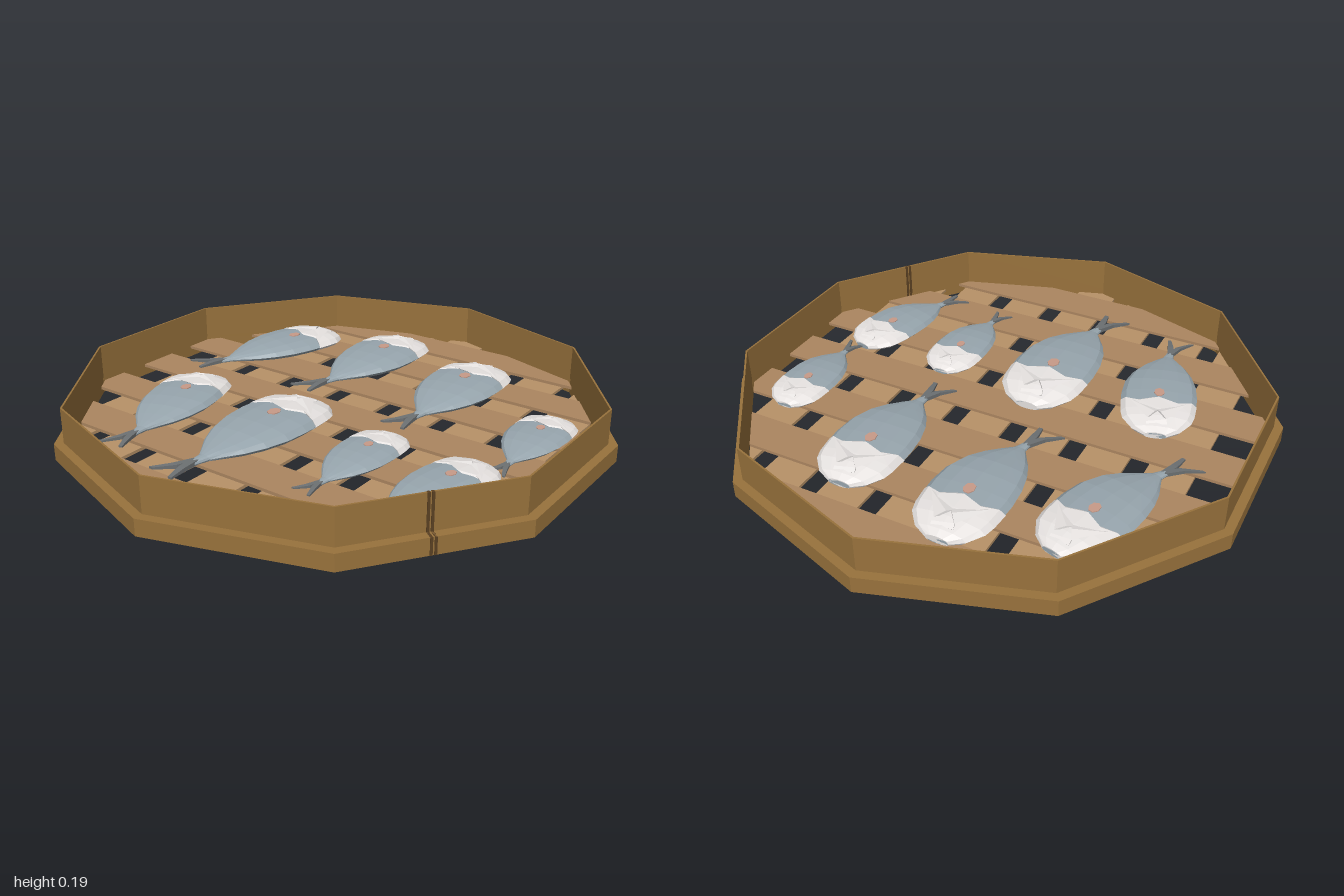
import * as THREE from 'three';

const mat = (color, extra = {}) => new THREE.MeshStandardMaterial({ color, flatShading: true, ...extra });
const WOOD = mat(0x98723c);
const SEAM = mat(0x5a4022);
const SLAT_TOP = mat(0xac8660);
const SLAT_LOW = mat(0xb89268);
const SKIN = mat(0x97a5ad, { side: THREE.DoubleSide });
const HEAD = mat(0xe6e2e0, { side: THREE.DoubleSide });
const FIN = mat(0x6c7072, { side: THREE.DoubleSide });
const SPOT = mat(0xc89a88);

function addMesh(parent, name, geometry, material) {
  const m = new THREE.Mesh(geometry, material);
  m.name = name;
  parent.add(m);
  return m;
}

// Ten-sided outline, counter-clockwise, with a corner at the front and the back
const decagon = (r) => Array.from({ length: 10 }, (_, i) => {
  const a = (i / 10) * Math.PI * 2;
  return new THREE.Vector2(-Math.sin(a) * r, Math.cos(a) * r);
});

// Extrude a plan outline (x, z) between two heights
function slab(points, y0, y1, hole) {
  const shape = new THREE.Shape(points);
  if (hole) shape.holes.push(new THREE.Path(hole.reverse()));
  const g = new THREE.ExtrudeGeometry(shape, { depth: y1 - y0, bevelEnabled: false });
  return g.rotateX(Math.PI / 2).translate(0, y1, 0);
}

// Keep the part of a convex outline where sign * p[axis] <= limit
function clip(points, axis, sign, limit) {
  const out = [];
  points.forEach((p, i) => {
    const q = points[(i + 1) % points.length];
    const dp = sign * p[axis] - limit, dq = sign * q[axis] - limit;
    if (dp <= 0) out.push(p);
    if (dp * dq < 0) out.push(p.clone().lerp(q, dp / (dp - dq)));
  });
  return out;
}

function slat(axis, centre, width, y0, y1) {
  let pts = decagon(0.954);
  pts = clip(pts, axis, 1, centre + width / 2);
  pts = clip(pts, axis, -1, -(centre - width / 2));
  return slab(pts, y0, y1);
}

// Closed skin through rings of equal point count
function loft(rings) {
  const n = rings[0].length, pos = [], idx = [];
  rings.forEach((r) => r.forEach((p) => pos.push(...p)));
  for (let i = 0; i < rings.length - 1; i++) {
    for (let j = 0; j < n; j++) {
      const a = i * n + j, b = i * n + ((j + 1) % n);
      idx.push(a, b, a + n, b, b + n, a + n);
    }
  }
  for (let j = 1; j < n - 1; j++) {
    idx.push(0, j + 1, j);
    const e = (rings.length - 1) * n;
    idx.push(e, e + j, e + j + 1);
  }
  const g = new THREE.BufferGeometry();
  g.setAttribute('position', new THREE.Float32BufferAttribute(pos, 3));
  g.setIndex(idx);
  g.computeVertexNormals();
  return g;
}

// Fish profile: position along the length, half width, height (as fractions)
const PROFILE = [
  [0, 0.28, 0.4], [0.035, 0.6, 0.62], [0.11, 0.87, 0.85], [0.21, 0.97, 0.97], [0.34, 1, 1],
  [0.46, 0.95, 0.97], [0.57, 0.8, 0.85], [0.66, 0.58, 0.66], [0.73, 0.33, 0.5], [0.78, 0.15, 0.36], [0.85, 0.09, 0.28],
];

function fish(x, z, angle, length, width, bend) {
  const g = new THREE.Group();
  g.name = 'fish';
  const high = width * 0.2, SIDES = 12;
  const sway = (t) => bend * Math.max(0, (t - 0.4) / 0.6) ** 2;
  const ring = ([t, w, h], grow = 1, lift = 0, wave = 0) => Array.from({ length: SIDES }, (_, j) => {
    const a = (j / SIDES) * Math.PI * 2, c = Math.cos(a), s = Math.sin(a);
    const cut = wave * Math.cos(c * Math.PI * 2);
    return [
      sway(t) + c * w * grow * width / 2,
      high * h * (0.5 + 0.5 * Math.sign(s) * Math.abs(s) ** 0.75) + lift * Math.max(0, s),
      (t + cut) * length,
    ];
  });
  addMesh(g, 'body', loft(PROFILE.map((p) => ring(p))), SKIN);

  // Pale head shell with a wavy gill edge
  const shell = [...PROFILE.slice(0, 3), [0.17, 0.94, 0.93], [0.25, 0.98, 0.98]];
  addMesh(g, 'head', loft(shell.map((p, i) => ring(p, 1.02, 0.004, i === 4 ? 0.02 : 0))), HEAD);

  // Raised gill covers and mouth ridge
  for (const s of [-1, 1]) {
    const gill = addMesh(g, 'gillCover', new THREE.ConeGeometry(0.14 * width, 0.42 * width, 4), HEAD);
    gill.scale.z = 0.22;
    gill.rotation.set(Math.PI / 2, 0, -s * 0.9);
    gill.position.set(s * width * 0.2, high * 0.93, length * 0.18);
  }
  const mouth = addMesh(g, 'mouth', new THREE.BoxGeometry(width * 0.26, high * 0.14, length * 0.03), HEAD);
  mouth.position.set(0, high * 0.7, length * 0.06);
  mouth.rotation.set(-0.5, 0.2, 0);

  // Blush patch on the back
  const spot = addMesh(g, 'blushPatch', new THREE.CylinderGeometry(width * 0.07, width * 0.07, 0.003, 7), SPOT);
  spot.scale.z = 1.3;
  spot.position.set(0, high + 0.0005, length * 0.32);

  // Forked tail of two thin, bowed prongs
  for (const [tip, end] of [[-0.09, 0.98], [0.045, 1]]) {
    const x0 = sway(0.83), x1 = sway(0.92) + tip * 0.35 * length, x2 = sway(1) + tip * length;
    const section = (cx, t, w, h) => [
      [cx + w, 0.002, t * length], [cx + w, h, t * length], [cx - w, h, t * length], [cx - w, 0.002, t * length],
    ];
    addMesh(g, 'tailProng', loft([
      section(x0, 0.82, width * 0.035, high * 0.3),
      section(x1, 0.91, width * 0.04, high * 0.26),
      section(x2, end, width * 0.025, high * 0.15),
    ]), FIN);
  }

  g.position.set(x, 0.051, z);
  g.rotation.y = angle;
  return g;
}

export function createModel() {
  const model = new THREE.Group();
  model.name = 'fishDryingTray';

  // Two-tier rim
  addMesh(model, 'lowerRim', slab(decagon(1), 0, 0.06, decagon(0.963)), WOOD);
  addMesh(model, 'upperRim', slab(decagon(0.967), 0.06, 0.188, decagon(0.96)), WOOD);

  // Seam clips where the rim band overlaps
  const seam = new THREE.Group();
  seam.name = 'rimSeam';
  seam.rotation.y = -Math.PI / 5;
  for (const [r, y, h, depth] of [[0.934, 0.03, 0.06, 0.037], [0.916, 0.124, 0.128, 0.012]]) {
    for (const s of [-1, 1]) {
      const strip = addMesh(seam, 'seamStrip', new THREE.BoxGeometry(depth, h, 0.009), SEAM);
      strip.position.set(r, y, 0.013 + s * 0.007);
    }
  }
  model.add(seam);

  // Slatted floor: lower slats run front to back, upper slats side to side
  for (let i = -3; i <= 3; i++) {
    addMesh(model, 'lowerSlat', slat('x', 0.017 + i * 0.23, 0.16, 0.028, 0.039), SLAT_LOW);
    addMesh(model, 'upperSlat', slat('y', 0.005 + i * 0.268, 0.155, 0.039, 0.05), SLAT_TOP);
  }

  // Fish: head x, head z, heading, length, width, tail bend
  [
    [-0.487, -0.64, -0.26, 0.655, 0.275, -0.07],
    [-0.15, -0.75, 0, 0.67, 0.295, -0.07],
    [0.27, -0.66, 0.04, 0.66, 0.295, -0.04],
    [0.705, -0.375, 0.01, 0.49, 0.215, 0.01],
    [-0.565, 0.055, 0.29, 0.65, 0.275, -0.05],
    [-0.085, 0.015, 0, 0.735, 0.315, -0.05],
    [0.307, 0.075, 0, 0.505, 0.215, -0.01],
    [0.675, 0.095, -0.22, 0.545, 0.235, -0.04],
  ].forEach((f) => model.add(fish(...f)));

  return model;
}
